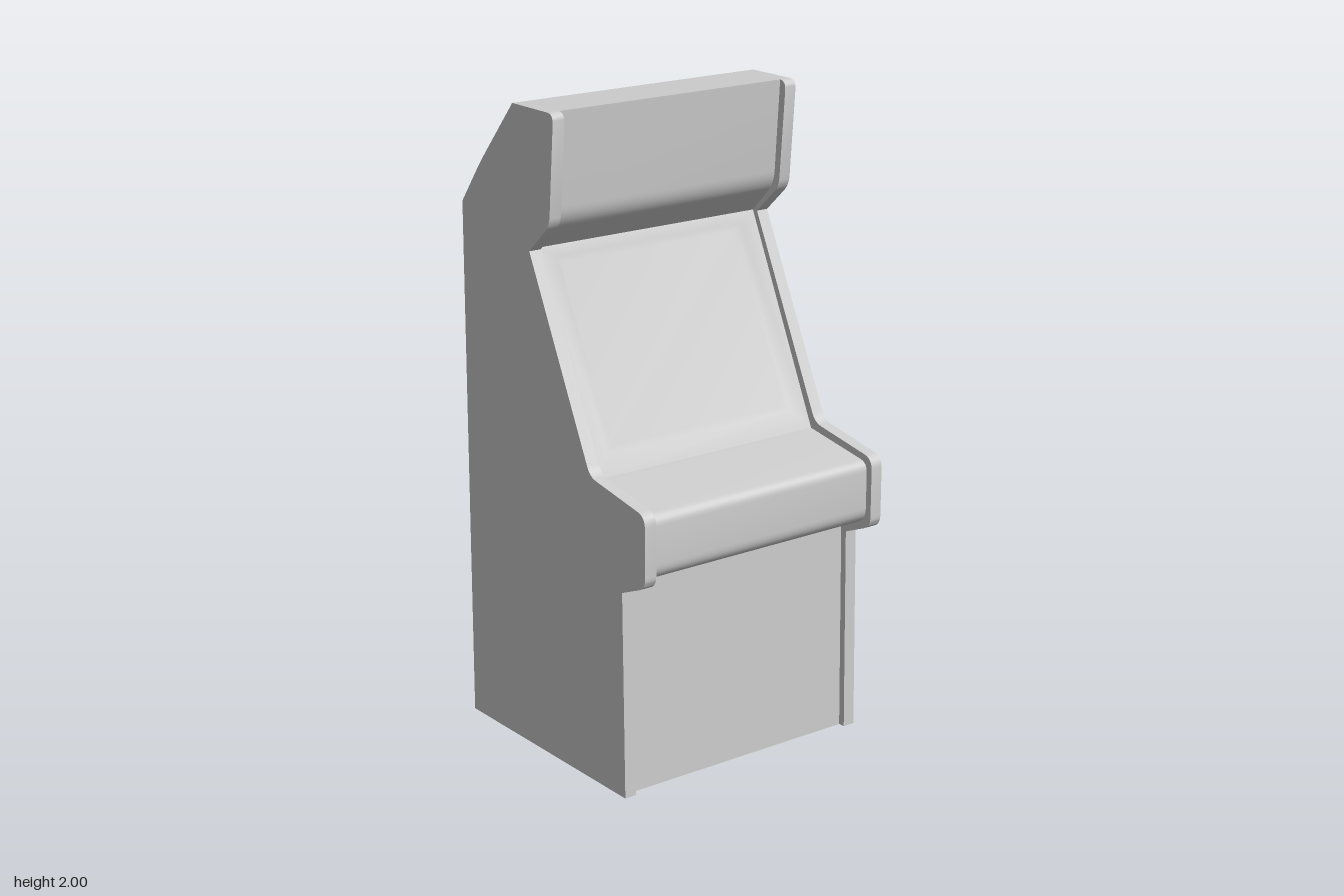
import * as THREE from 'three';
import { toCreasedNormals } from 'three/addons/utils/BufferGeometryUtils.js';

const material = new THREE.MeshStandardMaterial({ color: 0xcccccc, side: THREE.DoubleSide });
const HALF = 0.445, INNER = 0.405;

// Corners are [x, y, cut]: a corner with a cut is rounded from that distance on either side.
function roundCorners(corners) {
  const out = [];
  corners.forEach(([x, y, cut], i) => {
    const p = new THREE.Vector2(x, y);
    if (!cut) return out.push(p);
    const toward = ([a, b]) => new THREE.Vector2(a, b).sub(p).setLength(cut).add(p);
    const n = corners.length;
    const from = toward(corners[(i + n - 1) % n]), to = toward(corners[(i + 1) % n]);
    out.push(...new THREE.QuadraticBezierCurve(from, p, to).getPoints(6));
  });
  return out;
}

// Sheet that follows a profile across the width between the side panels
function sheet(points) {
  const pos = [], idx = [];
  points.forEach((p, i) => {
    pos.push(p.x, p.y, INNER, p.x, p.y, -INNER);
    const a = 2 * i;
    if (i) idx.push(a - 2, a - 1, a + 1, a - 2, a + 1, a);
  });
  return toCreasedNormals(buffer(pos, idx), 0.5);
}

function buffer(pos, idx) {
  const g = new THREE.BufferGeometry();
  g.setAttribute('position', new THREE.Float32BufferAttribute(pos, 3));
  g.setIndex(idx);
  g.computeVertexNormals();
  return g;
}

// Nested rectangles on the sloping screen plane, joined ring to ring and closed in the middle.
// Each ring is [bottom, top, half width, depth], with bottom and top as fractions of the slope.
function screenGeometry(bottom, top, rings) {
  const pos = [], idx = [];
  const dir = top.clone().sub(bottom);
  const normal = new THREE.Vector2(dir.y, -dir.x).normalize();
  rings.forEach(([lo, hi, w, depth], r) => {
    for (const [t, z] of [[lo, w], [lo, -w], [hi, -w], [hi, w]]) {
      const p = bottom.clone().addScaledVector(dir, t).addScaledVector(normal, -depth);
      pos.push(p.x, p.y, z);
    }
    for (let k = 0; r && k < 4; k++) {
      const o = 4 * (r - 1), a = o + k, b = o + (k + 1) % 4;
      idx.push(a, b, b + 4, a, b + 4, a + 4);
    }
  });
  const c = 4 * (rings.length - 1);
  idx.push(c, c + 1, c + 2, c, c + 2, c + 3);
  return buffer(pos, idx);
}

export function createModel() {
  const group = new THREE.Group();
  const add = (name, geometry) => {
    const mesh = new THREE.Mesh(geometry, material);
    mesh.name = name;
    group.add(mesh);
    return mesh;
  };

  // Side panels standing proud of the front
  const outline = roundCorners([
    [-0.46, 0], [0.355, 0], [0.345, 0.65], [0.457, 0.697, 0.03], [0.457, 0.915, 0.035],
    [0.19, 0.962, 0.03], [-0.105, 1.575], [0, 1.67, 0.03], [0.027, 2, 0.03],
    [-0.18, 2], [-0.36, 1.793, 0.05], [-0.46, 1.66],
  ]);
  const side = toCreasedNormals(new THREE.ExtrudeGeometry(new THREE.Shape(outline),
    { depth: HALF - INNER, bevelEnabled: false }), 0.5);
  add('leftSidePanel', side).position.z = INNER;
  add('rightSidePanel', side).position.z = -HALF;

  const screenBottom = [0.172, 0.94], screenTop = [-0.125, 1.575];

  // Lower front and control panel
  add('frontAndControlPanel', sheet(roundCorners([
    [0.333, 0], [0.323, 0.667], [0.435, 0.712, 0.04], [0.435, 0.897, 0.03], screenBottom,
  ])));

  // Screen set into its bezel
  add('screen', screenGeometry(new THREE.Vector2(...screenBottom), new THREE.Vector2(...screenTop), [
    [0, 1, INNER, 0], [0.1, 0.95, 0.345, 0], [0.125, 0.925, 0.325, 0.012],
  ]));

  // Overhanging sign
  add('sign', sheet(roundCorners([screenTop, [-0.024, 1.675, 0.04], [0, 2]])));

  // Top, sloping upper back and back; the underside is open
  add('topAndBack', sheet(roundCorners([
    [0, 2], [-0.18, 2], [-0.36, 1.793, 0.05], [-0.46, 1.66], [-0.46, 0],
  ])));

  return group;
}
